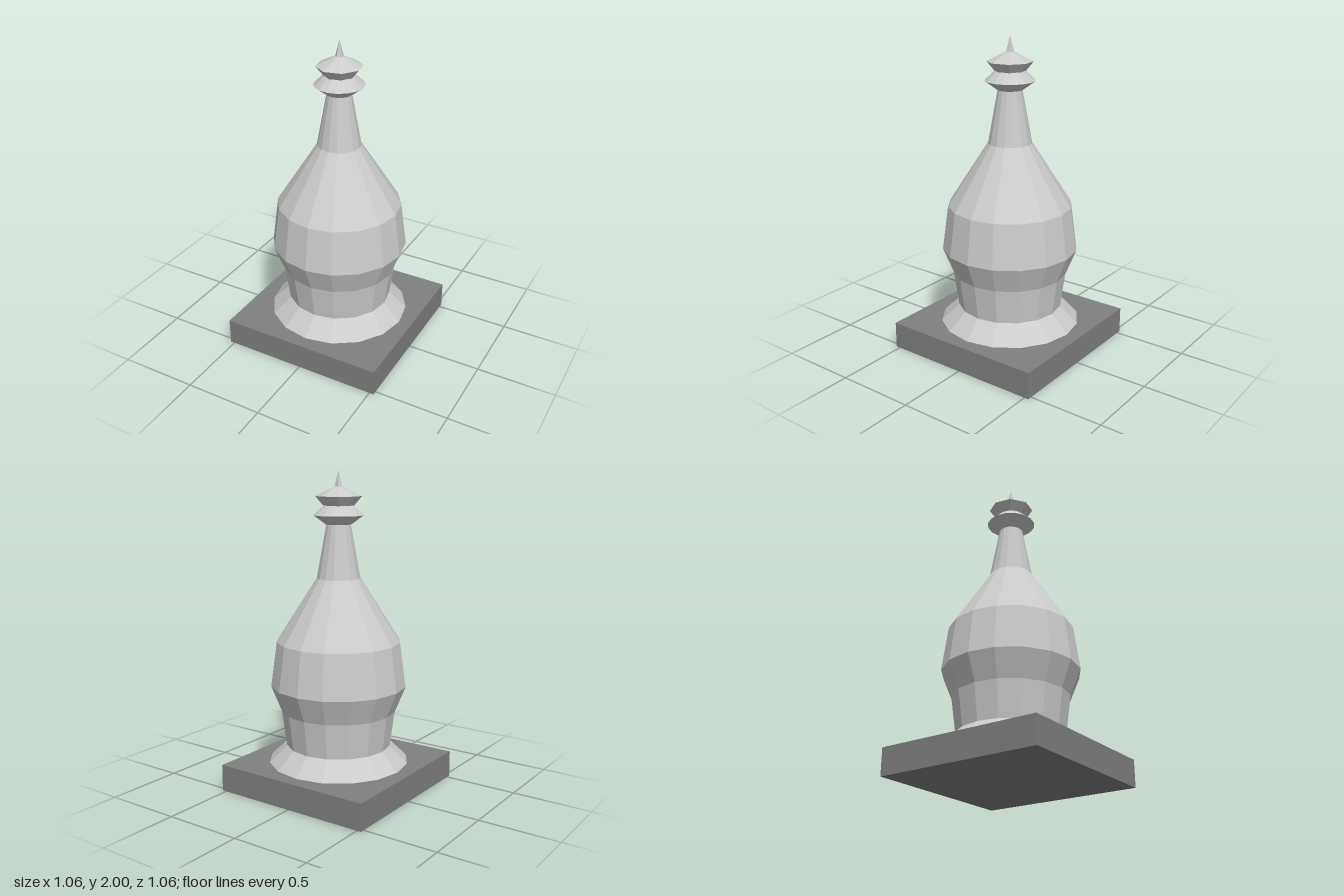
import * as THREE from 'three';

const stone = new THREE.MeshStandardMaterial({ color: 0xcccccc, flatShading: true });
const darkStone = new THREE.MeshStandardMaterial({ color: 0x808080, flatShading: true });

// Faceted turned part from [radius, height] pairs, bottom to top
function turned(name, profile, sides, turnDegrees = 0) {
  const points = profile.map(([r, y]) => new THREE.Vector2(r, y));
  const geometry = new THREE.LatheGeometry(points, sides, THREE.MathUtils.degToRad(turnDegrees));
  const mesh = new THREE.Mesh(geometry, stone);
  mesh.name = name;
  return mesh;
}

export function createModel() {
  const model = new THREE.Group();
  model.name = 'bellShapedTower';

  // Square plinth
  const plinth = new THREE.Mesh(new THREE.BoxGeometry(1.056, 0.17, 1.056), darkStone);
  plinth.name = 'plinth';
  plinth.position.y = 0.085;
  model.add(plinth);

  // Flared foot, bell body and tapering neck
  model.add(turned('body', [
    [0.445, 0.17], [0.332, 0.28], [0.362, 0.505], [0.428, 0.67],
    [0.39, 0.95], [0.137, 1.345], [0.075, 1.68],
  ], 16));

  // Two stacked rings
  model.add(turned('lowerRing', [
    [0, 1.675], [0.08, 1.675], [0.155, 1.73], [0.09, 1.79], [0, 1.79],
  ], 16));
  model.add(turned('upperRing', [
    [0, 1.788], [0.095, 1.788], [0.142, 1.845], [0.025, 1.902], [0, 1.902],
  ], 8, 33.75));

  // Pointed tip
  model.add(turned('spike', [[0, 1.895], [0.028, 1.895], [0, 2]], 5, -11));

  return model;
}
